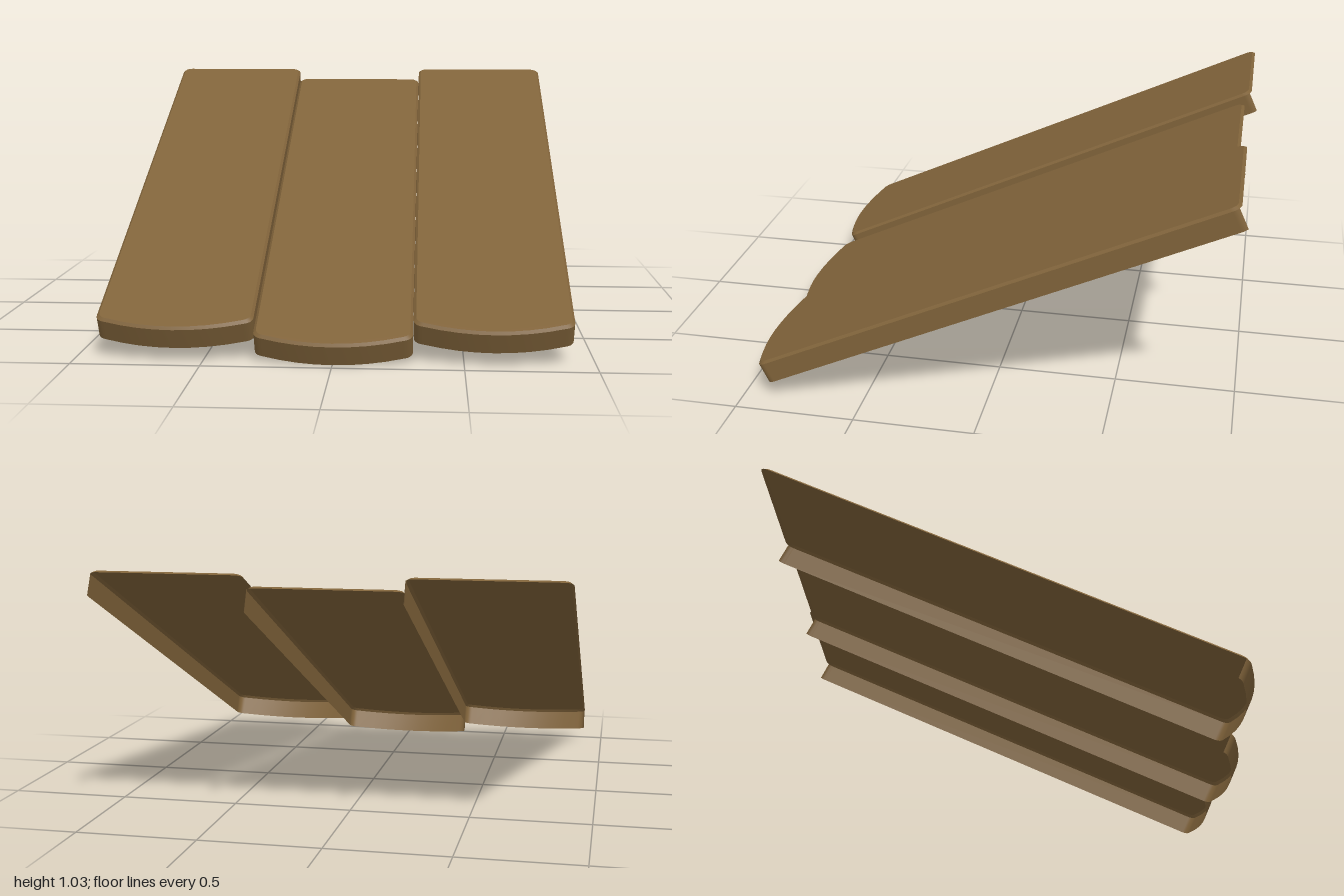
import * as THREE from 'three';

const WIDTH = 0.612, LENGTH = 2.14, DEPTH = 0.097;
const TILT = THREE.MathUtils.degToRad(24.9);

// Tile outline in (x, along slope), from the back left corner round to the back right one
function outline() {
  const h = WIDTH / 2 - 0.001, r = 0.035, back = -LENGTH / 2, tip = LENGTH / 2;
  const side = tip - 0.085, front = tip - 0.045;
  const s = new THREE.Shape();
  s.moveTo(h - r, back);
  s.quadraticCurveTo(h, back, h, back + r);
  s.lineTo(h, side);
  s.quadraticCurveTo(h, front - 0.008, h - r, front);
  s.quadraticCurveTo(0, 2 * tip - front, r - h, front);
  s.quadraticCurveTo(-h, front - 0.008, -h, side);
  s.lineTo(-h, back + r);
  s.quadraticCurveTo(-h, back, r - h, back);
  return s.getPoints(8);
}

// Ribbon of quads between two rows of 3D points, facing outwards
function strip(top, bottom) {
  const n = top.length, pos = [], index = [];
  for (const p of [...top, ...bottom]) pos.push(p.x, p.y, p.z);
  for (let i = 0; i < n - 1; i++) index.push(i, i + 1, n + i, i + 1, n + i + 1, n + i);
  const g = new THREE.BufferGeometry();
  g.setAttribute('position', new THREE.Float32BufferAttribute(pos, 3));
  g.setIndex(index);
  g.computeVertexNormals();
  return g;
}

export function createModel() {
  const model = new THREE.Group();
  model.name = 'roofTiles';
  const material = new THREE.MeshStandardMaterial({ color: 0x80633a, side: THREE.DoubleSide });

  const edge = outline();
  const bevel = 0.01;
  const kx = 1 - bevel / (WIDTH / 2), kz = 1 - bevel / (LENGTH / 2);
  const inset = edge.map(p => new THREE.Vector2(p.x * kx, p.y * kz));
  const row = (points, y) => points.map(p => new THREE.Vector3(p.x, y, p.y));

  // Flat top sheet
  const face = new THREE.ShapeGeometry(new THREE.Shape(inset.map(p => new THREE.Vector2(p.x, -p.y))));
  face.rotateX(-Math.PI / 2);

  // Softened rim all the way round
  const rim = strip(row([...inset, inset[0]], 0), row([...edge, edge[0]], -bevel));

  // Skirt on the left side and front only; the back, right side and underside stay open
  const skirtEdge = edge.slice(4, 32);
  const skirt = strip(row(skirtEdge, -bevel), row(skirtEdge, -DEPTH));

  const parts = { topFace: face, bevelledRim: rim, sideAndFrontSkirt: skirt };

  // Three tiles, the middle one set lower and further forward
  [-1, 0, 1].forEach(i => {
    const tile = new THREE.Group();
    tile.name = ['rightTile', 'middleTile', 'leftTile'][i + 1];
    for (const [name, geometry] of Object.entries(parts)) {
      const mesh = new THREE.Mesh(geometry, material);
      mesh.name = name;
      tile.add(mesh);
    }
    tile.rotation.x = TILT;
    tile.position.set(i * WIDTH, i ? 0.588 : 0.538, i ? 0.004 : 0.03);
    model.add(tile);
  });
  return model;
}
